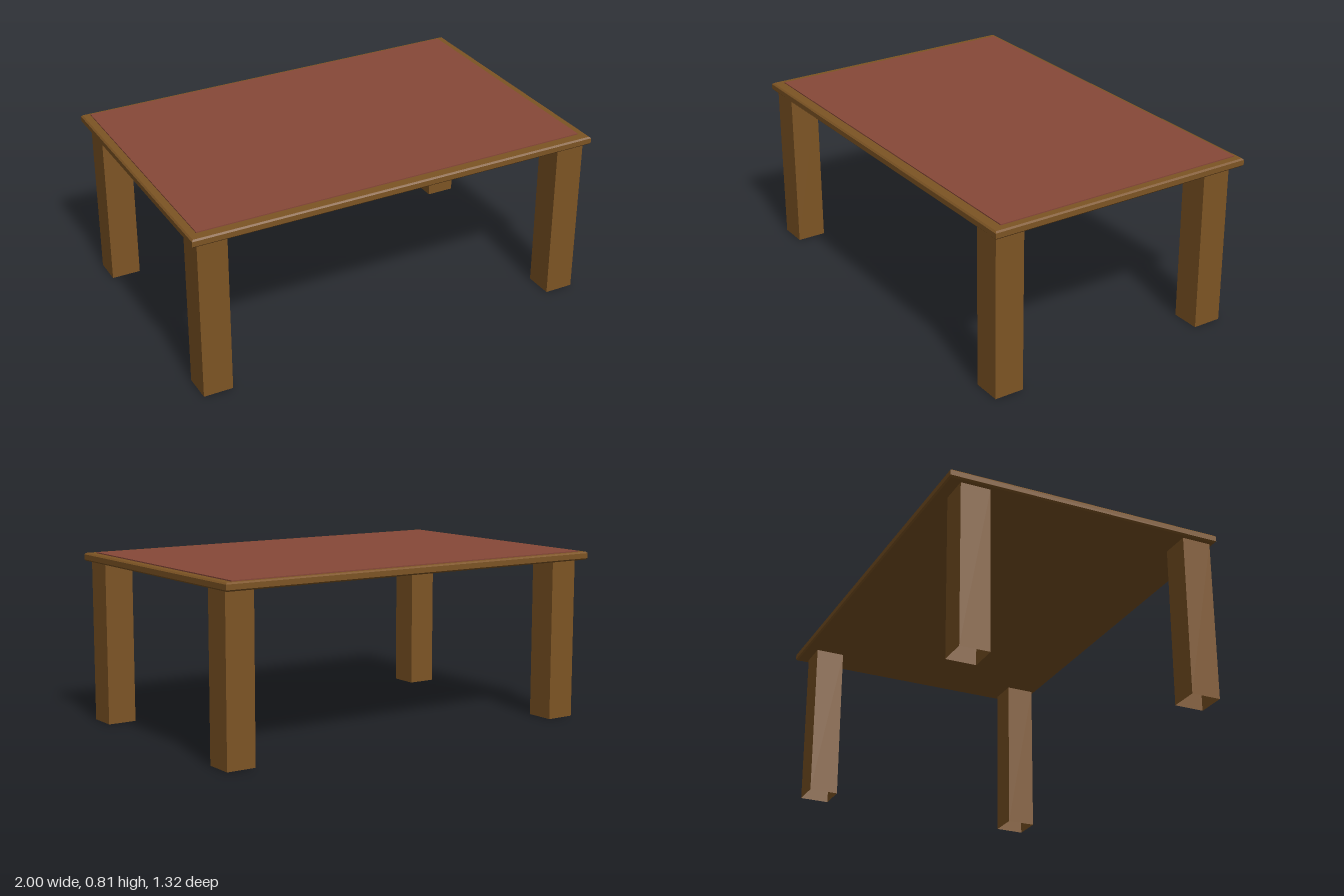
import * as THREE from 'three';

const WOOD = 0x7d5424, INLAY = 0x874838;

function makeMesh(name, geometry, color, side = THREE.FrontSide) {
  const mesh = new THREE.Mesh(geometry, new THREE.MeshStandardMaterial({ color, flatShading: true, side }));
  mesh.name = name;
  return mesh;
}

// Flat slab with chamfered top and bottom edges, standing on y = 0
function chamferedSlab(width, height, depth, chamfer) {
  const x = width / 2 - chamfer, z = depth / 2 - chamfer;
  const shape = new THREE.Shape([[-x, -z], [x, -z], [x, z], [-x, z]].map(([a, b]) => new THREE.Vector2(a, b)));
  const geometry = new THREE.ExtrudeGeometry(shape, {
    depth: height - 2 * chamfer, bevelEnabled: true, bevelSize: chamfer, bevelThickness: chamfer, bevelSegments: 1,
  });
  return geometry.rotateX(-Math.PI / 2).translate(0, chamfer, 0);
}

// Square hollow post, open at both ends
function hollowPost(size, height) {
  return new THREE.CylinderGeometry(size / Math.SQRT2, size / Math.SQRT2, height, 4, 1, true)
    .rotateY(Math.PI / 4).translate(0, height / 2, 0);
}

export function createModel() {
  const table = new THREE.Group();
  table.name = 'table';

  // Table top
  const top = makeMesh('tableTop', chamferedSlab(2, 0.038, 1.32, 0.007), WOOD);
  top.position.y = 0.77;
  table.add(top);

  // Thin raised panel, slightly towards the back
  const panel = makeMesh('topPanel', new THREE.BoxGeometry(1.92, 0.008, 1.245), INLAY);
  panel.position.set(0, 0.809, -0.013);
  table.add(panel);

  // Four legs, reaching the underside of the top
  const legGeometry = hollowPost(0.14, 0.771);
  for (const [x, side] of [[-0.903, 'Right'], [0.9, 'Left']]) {
    for (const [z, end] of [[0.57, 'front'], [-0.53, 'back']]) {
      const leg = makeMesh(`${end}${side}Leg`, legGeometry, WOOD, THREE.DoubleSide);
      leg.position.set(x, 0, z);
      table.add(leg);
    }
  }
  return table;
}
